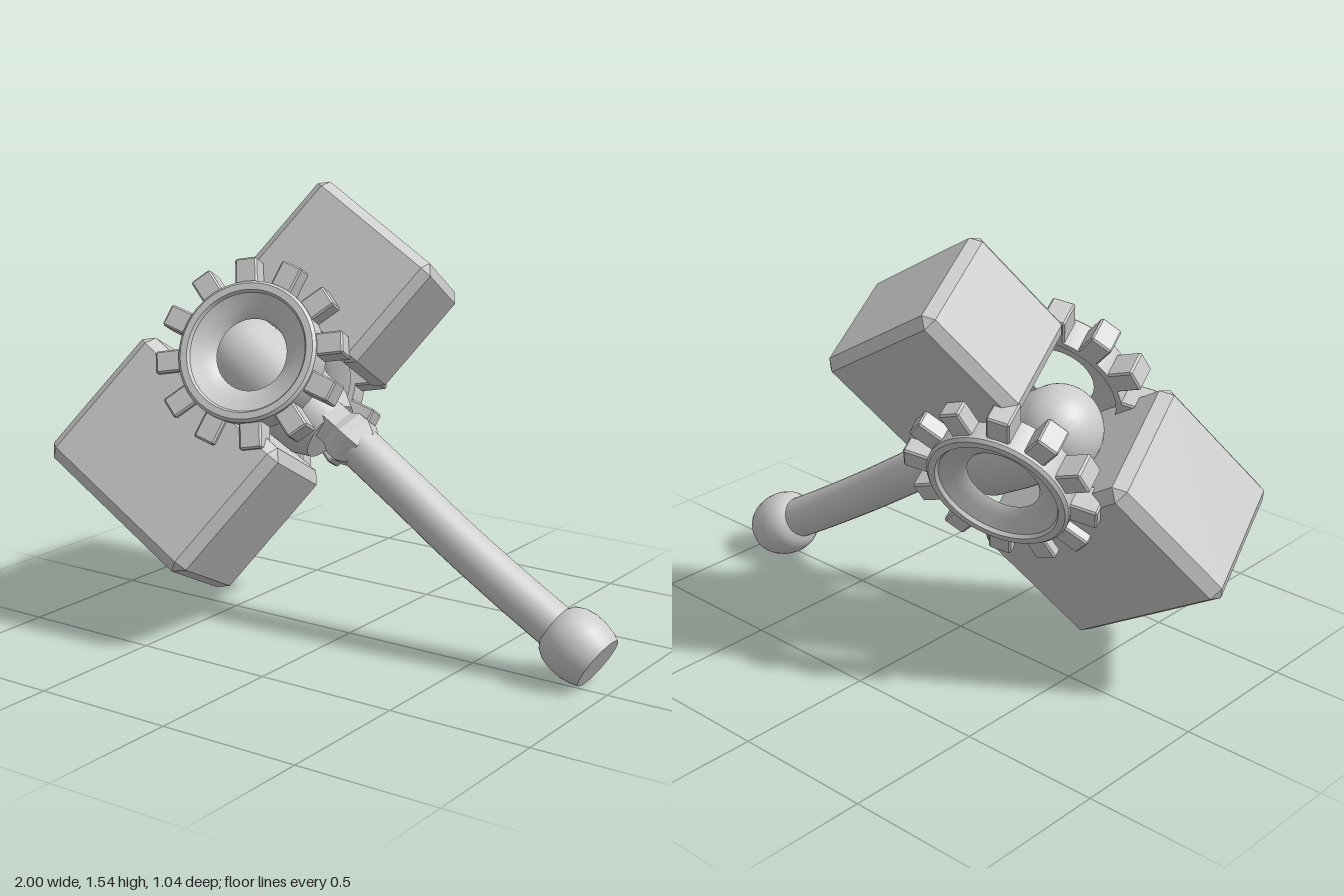
import * as THREE from 'three';
import { ConvexGeometry } from 'three/addons/geometries/ConvexGeometry.js';
import { toCreasedNormals } from 'three/addons/utils/BufferGeometryUtils.js';

const V2 = (p) => p.map(([r, y]) => new THREE.Vector2(r, y));

// Box with every edge chamfered, given half sizes and chamfer
function chamferBox(x, y, z, c) {
  const pts = [];
  for (const i of [-1, 1]) for (const j of [-1, 1]) for (const k of [-1, 1]) {
    pts.push(new THREE.Vector3(i * x, j * (y - c), k * (z - c)));
    pts.push(new THREE.Vector3(i * (x - c), j * y, k * (z - c)));
    pts.push(new THREE.Vector3(i * (x - c), j * (y - c), k * z));
  }
  return new ConvexGeometry(pts);
}

export function createModel() {
  const grey = new THREE.MeshStandardMaterial({ color: 0xcccccc });
  grey.name = 'grey';
  const model = new THREE.Group();
  model.name = 'hammer';

  // Local frame: x along the handle, y along the head, z through the gears
  const hammer = new THREE.Group();
  hammer.name = 'hammerBody';
  const t = THREE.MathUtils.degToRad(31.2), f = THREE.MathUtils.degToRad(29.5);
  const [c, s, cf, sf] = [Math.cos(t), Math.sin(t), Math.cos(f), Math.sin(f)];
  hammer.quaternion.setFromRotationMatrix(new THREE.Matrix4().makeBasis(
    new THREE.Vector3(c, -s, 0),
    new THREE.Vector3(s * cf, c * cf, -sf),
    new THREE.Vector3(s * sf, c * sf, cf)));
  hammer.position.set(-0.34, 0.895, -0.02);
  model.add(hammer);

  const add = (name, geo, parent = hammer) => {
    const m = new THREE.Mesh(geo, grey);
    m.name = name;
    parent.add(m);
    return m;
  };
  const lathe = (pts, n = 40) => toCreasedNormals(new THREE.LatheGeometry(V2(pts), n), 0.6);

  // Head blocks, the lower one larger
  add('lowerHeadBlock', chamferBox(0.34, 0.272, 0.248, 0.036)).position.set(-0.018, -0.448, -0.008);
  add('upperHeadBlock', chamferBox(0.27, 0.22, 0.208, 0.032)).position.set(0.01, 0.402, -0.024);

  // Rounded core lying along the handle axis
  const core = [[0, -0.255]];
  for (let i = 1; i <= 10; i++) {
    const a = (i / 10) * Math.PI / 2;
    core.push([0.147 * Math.sin(a), -0.12 - 0.135 * Math.cos(a)]);
  }
  core.push([0.147, 0.1], [0.14, 0.24], [0.11, 0.3], [0, 0.3]);
  const coreMesh = add('core', lathe(core));
  coreMesh.rotation.z = -Math.PI / 2;
  coreMesh.position.set(0, -0.03, -0.035);

  // Thin dished gear rings on the front and the back
  const ring = lathe([
    [0.125, 0.215], [0.15, 0.205], [0.225, 0.2], [0.225, 0.155], [0.245, 0.155],
    [0.245, 0.265], [0.235, 0.275], [0.212, 0.275], [0.205, 0.262], [0.165, 0.242],
    [0.135, 0.226], [0.125, 0.215]], 48);
  const tooth = chamferBox(0.039, 0.05, 0.05, 0.006);
  for (const side of [1, -1]) {
    const gear = new THREE.Group();
    gear.name = side > 0 ? 'frontGear' : 'backGear';
    if (side < 0) gear.rotation.y = Math.PI;
    gear.position.z = side > 0 ? 0.003 : -0.035;
    hammer.add(gear);
    add('gearRing', ring, gear).rotation.x = Math.PI / 2;
    for (let i = 0; i < 12; i++) {
      const a = ((i + 0.5) / 12) * Math.PI * 2;
      const m = add('gearTooth', tooth, gear);
      m.position.set(-Math.sin(a) * 0.282, Math.cos(a) * 0.282, 0.205);
      m.rotation.z = a;
    }
  }

  // Six-sided collar where the handle leaves the core
  const collar = new THREE.LatheGeometry(V2([
    [0, 0.26], [0.08, 0.26], [0.08, 0.34], [0.1, 0.37], [0.1, 0.41], [0.075, 0.45], [0, 0.45]]), 6);
  add('collar', toCreasedNormals(collar, 0.1)).rotation.z = -Math.PI / 2;

  // Slightly bowed grip
  const path = new THREE.CatmullRomCurve3([
    [0.4, 0, 0], [0.65, -0.008, -0.005], [0.9, -0.018, -0.01], [1.15, -0.02, -0.018], [1.44, -0.015, -0.028]
  ].map((p) => new THREE.Vector3(...p)));
  add('handleGrip', new THREE.TubeGeometry(path, 32, 0.075, 24));

  // Rounded pommel with a flat end
  const pommel = add('pommel', lathe([
    [0.07, 1.33], [0.092, 1.345], [0.109, 1.375], [0.117, 1.415],
    [0.116, 1.455], [0.107, 1.495], [0.097, 1.518], [0, 1.518]]));
  pommel.rotation.z = -Math.PI / 2;
  pommel.position.set(0, -0.015, -0.03);

  return model;
}
